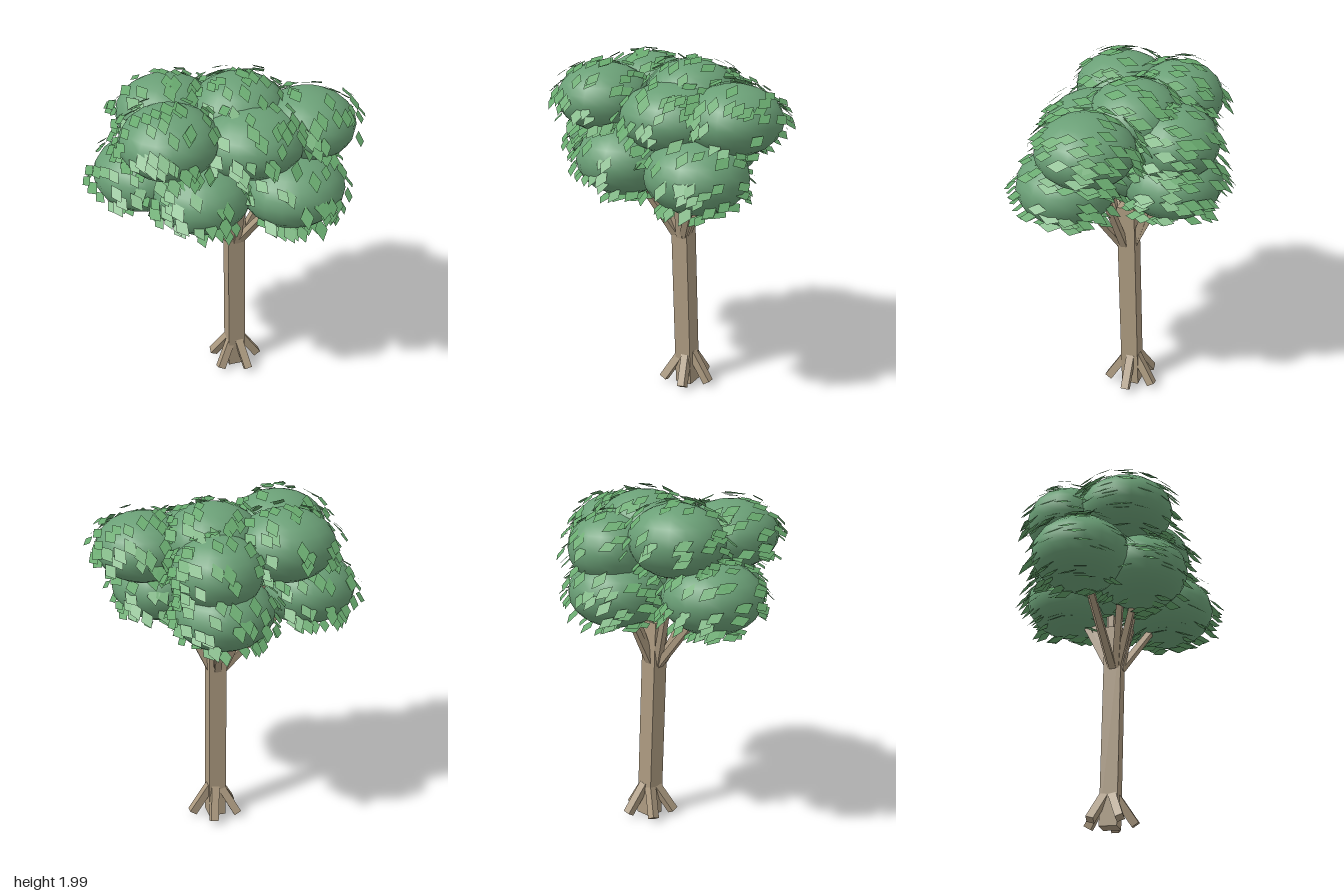
import * as THREE from 'three';

const UP = new THREE.Vector3(0, 1, 0);
const bark = new THREE.MeshStandardMaterial({ color: 0xac9a80, flatShading: true });
const foliage = new THREE.MeshStandardMaterial({ color: 0x6ba077 });
const leafGreen = new THREE.MeshStandardMaterial({ color: 0x67a86d, side: THREE.DoubleSide, flatShading: true });

// Foliage clumps: centre x, y, z and radii x, y, z
const CLUMPS = [
  // lower ring
  [0.30, 1.41, 0.25, 0.29, 0.205, 0.28],
  [-0.20, 1.42, 0.20, 0.27, 0.20, 0.27],
  [-0.45, 1.44, -0.09, 0.28, 0.20, 0.28],
  [0.08, 1.42, -0.28, 0.28, 0.20, 0.28],
  // core
  [0.05, 1.50, -0.03, 0.26, 0.21, 0.26],
  // upper ring and crown
  [0.43, 1.70, 0.09, 0.27, 0.19, 0.27],
  [0.09, 1.68, 0.16, 0.30, 0.19, 0.27],
  [-0.36, 1.74, 0.15, 0.27, 0.19, 0.27],
  [-0.29, 1.74, -0.20, 0.28, 0.20, 0.25],
  [0.08, 1.76, -0.06, 0.27, 0.20, 0.26],
  [0.11, 1.66, -0.29, 0.25, 0.20, 0.25],
];

function seeded(seed) {
  return () => (seed = (seed * 16807) % 2147483647) / 2147483647;
}

// Square tapered beam between two points, given half widths
function beam(name, a, b, halfA, halfB) {
  const dir = b.clone().sub(a);
  const geo = new THREE.CylinderGeometry(halfB * Math.SQRT2, halfA * Math.SQRT2, dir.length(), 4, 1, false, Math.PI / 4);
  const mesh = new THREE.Mesh(geo, bark);
  mesh.name = name;
  mesh.position.copy(a).add(b).multiplyScalar(0.5);
  mesh.quaternion.setFromUnitVectors(UP, dir.normalize());
  return mesh;
}

// Diamond leaves hovering over the clumps, tilted outwards and pointing along z
function makeLeaves() {
  const rand = seeded(4211);
  const positions = [], index = [];
  const inside = (p) => CLUMPS.some(([x, y, z, a, b, c]) =>
    ((p.x - x) / a) ** 2 + ((p.y - y) / b) ** 2 + ((p.z - z) / c) ** 2 < 1);
  for (const [x, y, z, a, b, c] of CLUMPS) {
    for (let i = 0; i < 90; i++) {
      const v = rand() * 2 - 1, t = rand() * Math.PI * 2, r = Math.sqrt(1 - v * v);
      const unit = new THREE.Vector3(r * Math.cos(t), v, r * Math.sin(t));
      const lift = 1.01 + rand() * 0.16;
      const p = new THREE.Vector3(x + unit.x * a * lift, y + unit.y * b * lift, z + unit.z * c * lift);
      if (inside(p)) continue;
      const normal = new THREE.Vector3(unit.x * 0.9, 1, unit.z).normalize();
      const along = new THREE.Vector3((rand() - 0.5) * 0.3, (rand() - 0.5) * 0.3, 1).projectOnPlane(normal).normalize();
      const across = new THREE.Vector3().crossVectors(along, normal);
      const size = 0.85 + rand() * 0.3, k = positions.length / 3;
      for (const [u, w] of [[0.06, 0], [0, 0.034], [-0.06, 0], [0, -0.034]]) {
        const q = p.clone().addScaledVector(along, u * size).addScaledVector(across, w * size);
        positions.push(q.x, Math.min(q.y, 2), q.z);
      }
      index.push(k, k + 1, k + 2, k, k + 2, k + 3);
    }
  }
  const geo = new THREE.BufferGeometry();
  geo.setAttribute('position', new THREE.Float32BufferAttribute(positions, 3));
  geo.setIndex(index);
  geo.computeVertexNormals();
  const mesh = new THREE.Mesh(geo, leafGreen);
  mesh.name = 'leaves';
  return mesh;
}

export function createModel() {
  const tree = new THREE.Group();
  tree.name = 'tree';

  // Slightly leaning square trunk
  const foot = new THREE.Vector3(0.07, 0, -0.05);
  const fork = new THREE.Vector3(0.05, 1.2, -0.015);
  tree.add(beam('trunk', foot, fork, 0.051, 0.051));

  // Five splayed roots
  const roots = new THREE.Group();
  roots.name = 'roots';
  for (let i = 0; i < 5; i++) {
    const t = (i / 5) * Math.PI * 2;
    const at = (r, y) => new THREE.Vector3(foot.x + Math.cos(t) * r, y, foot.z + Math.sin(t) * r);
    roots.add(beam('root', at(0.143, 0.02), at(0.03, 0.19), 0.023, 0.023));
  }
  tree.add(roots);

  // One branch up into each clump
  const branches = new THREE.Group();
  branches.name = 'branches';
  for (const [x, y, z] of CLUMPS) {
    const tip = new THREE.Vector3(x, y, z);
    const out = new THREE.Vector3(x - fork.x, 0, z - fork.z).normalize().multiplyScalar(0.03);
    const start = new THREE.Vector3(fork.x, 0.94, fork.z).add(out);
    branches.add(beam('branch', start, tip, 0.02, 0.015));
  }
  tree.add(branches);

  // Rounded clumps of foliage
  const canopy = new THREE.Group();
  canopy.name = 'canopy';
  for (const [x, y, z, a, b, c] of CLUMPS) {
    const clump = new THREE.Mesh(new THREE.SphereGeometry(1, 18, 12), foliage);
    clump.name = 'foliageClump';
    clump.position.set(x, y, z);
    clump.scale.set(a, b, c);
    canopy.add(clump);
  }
  canopy.add(makeLeaves());
  tree.add(canopy);
  return tree;
}
